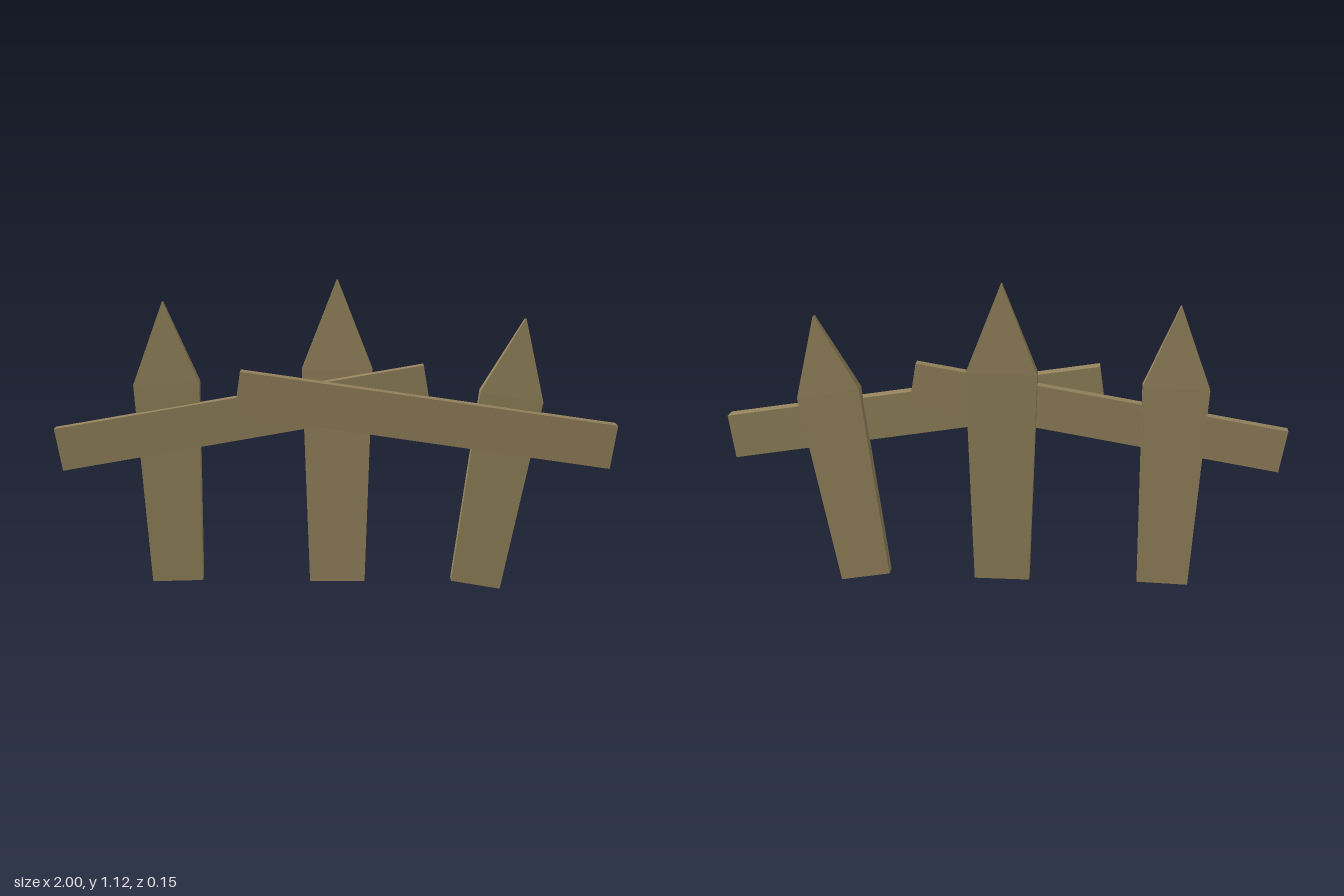
import * as THREE from 'three';

// Solid board lofted through rings [xA, yA, xB, yB, zFront, zBack]; A and B are the two edges of the board.
function board(rings) {
  const loops = rings.map(([xa, ya, xb, yb, f, b]) => [[xa, ya, f], [xb, yb, f], [xb, yb, b], [xa, ya, b]]);
  const pos = [];
  const quad = (a, b, c, d) => [a, b, c, a, c, d].forEach((p) => pos.push(...p));
  for (let r = 0; r < loops.length - 1; r++) {
    const lo = loops[r], hi = loops[r + 1];
    for (let i = 0; i < 4; i++) {
      const j = (i + 1) % 4;
      quad(lo[i], lo[j], hi[j], hi[i]);
    }
  }
  const s = loops[0], e = loops[loops.length - 1];
  quad(s[3], s[2], s[1], s[0]);
  quad(e[0], e[1], e[2], e[3]);
  const geo = new THREE.BufferGeometry();
  geo.setAttribute('position', new THREE.Float32BufferAttribute(pos, 3));
  geo.computeVertexNormals(); // unshared corners keep every face flat
  return geo;
}

export function createModel() {
  const group = new THREE.Group();
  const wood = new THREE.MeshStandardMaterial({ color: 0x94835c });
  wood.name = 'weathered wood';

  const parts = {
    // Pickets: foot, shoulder, pointed tip
    rightPicket: [
      [-0.668, 0.03, -0.486, 0.035, 0, -0.046],
      [-0.72, 0.757, -0.486, 0.767, 0, -0.046],
      [-0.613, 1.05, -0.609, 1.05, -0.012, -0.035],
    ],
    middlePicket: [
      [-0.095, 0.03, 0.104, 0.03, -0.003, -0.05],
      [-0.122, 0.808, 0.13, 0.808, -0.03, -0.077],
      [0.002, 1.125, 0.006, 1.125, -0.051, -0.073],
    ],
    leftPicket: [
      [0.42, 0.033, 0.598, 0.003, 0, -0.046],
      [0.513, 0.735, 0.737, 0.695, 0, -0.046],
      [0.667, 0.992, 0.671, 0.991, -0.012, -0.035],
    ],
    // Rails: one ring at each end, top edge then bottom edge
    rightRail: [
      [-1, 0.606, -0.973, 0.454, 0.04, -0.002],
      [0.31, 0.83, 0.335, 0.68, 0.008, -0.034],
    ],
    leftRail: [
      [-0.335, 0.818, -0.357, 0.664, 0.077, 0.024],
      [1, 0.617, 0.976, 0.46, 0.03, -0.024],
    ],
  };

  for (const [name, rings] of Object.entries(parts)) {
    const mesh = new THREE.Mesh(board(rings), wood);
    mesh.name = name;
    group.add(mesh);
  }
  return group;
}
